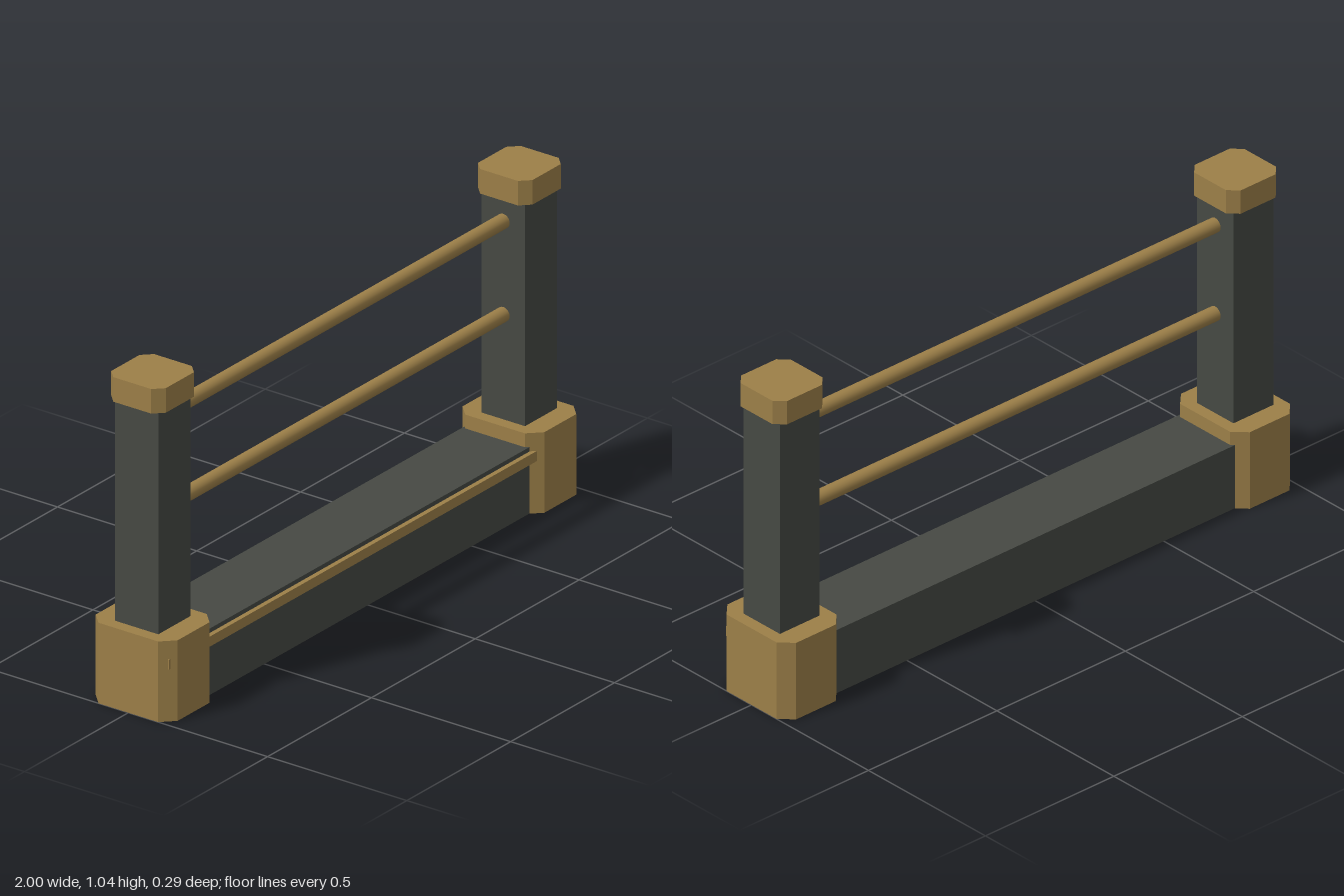
import * as THREE from 'three';

const brass = new THREE.MeshStandardMaterial({ color: 0x9c7f48 });
const slate = new THREE.MeshStandardMaterial({ color: 0x464943 });

function part(name, geometry, material, x, y, z) {
  const mesh = new THREE.Mesh(geometry, material);
  mesh.name = name;
  mesh.position.set(x, y, z);
  return mesh;
}

// Upright block with chamfered vertical corners, standing on y = 0
function chamferedBlock(width, height, depth, cut) {
  const w = width / 2, d = depth / 2;
  const outline = [
    [w, -d + cut], [w, d - cut], [w - cut, d], [-w + cut, d],
    [-w, d - cut], [-w, -d + cut], [-w + cut, -d], [w - cut, -d],
  ].map(([x, y]) => new THREE.Vector2(x, y));
  return new THREE.ExtrudeGeometry(new THREE.Shape(outline), { depth: height, bevelEnabled: false })
    .rotateX(-Math.PI / 2);
}

export function createModel() {
  const model = new THREE.Group();
  model.name = 'railing';

  // End posts: plinth, shaft and cap
  for (const [side, s] of [['left', 1], ['right', -1]]) {
    const post = new THREE.Group();
    post.name = side + 'Post';
    post.position.x = s * 0.883;
    post.add(
      part('plinth', chamferedBlock(0.234, 0.256, 0.294, 0.04), brass, 0, 0, 0),
      part('shaft', new THREE.BoxGeometry(0.155, 0.76, 0.156), slate, 0, 0.59, 0),
      part('cap', chamferedBlock(0.196, 0.078, 0.196, 0.03), brass, 0, 0.962, 0),
    );
    model.add(post);
  }

  // Low wall between the plinths, with a trim strip along its front
  model.add(part('lowWall', new THREE.BoxGeometry(1.58, 0.211, 0.234), slate, 0, 0.1065, 0));
  model.add(part('trimStrip', new THREE.BoxGeometry(1.96, 0.032, 0.026), brass, 0, 0.182, 0.119));

  // Round rails
  for (const [name, y] of [['lowerRail', 0.59], ['upperRail', 0.886]]) {
    const rail = new THREE.CylinderGeometry(0.023, 0.023, 1.7, 20).rotateZ(Math.PI / 2);
    model.add(part(name, rail, brass, 0, y, 0));
  }

  return model;
}
